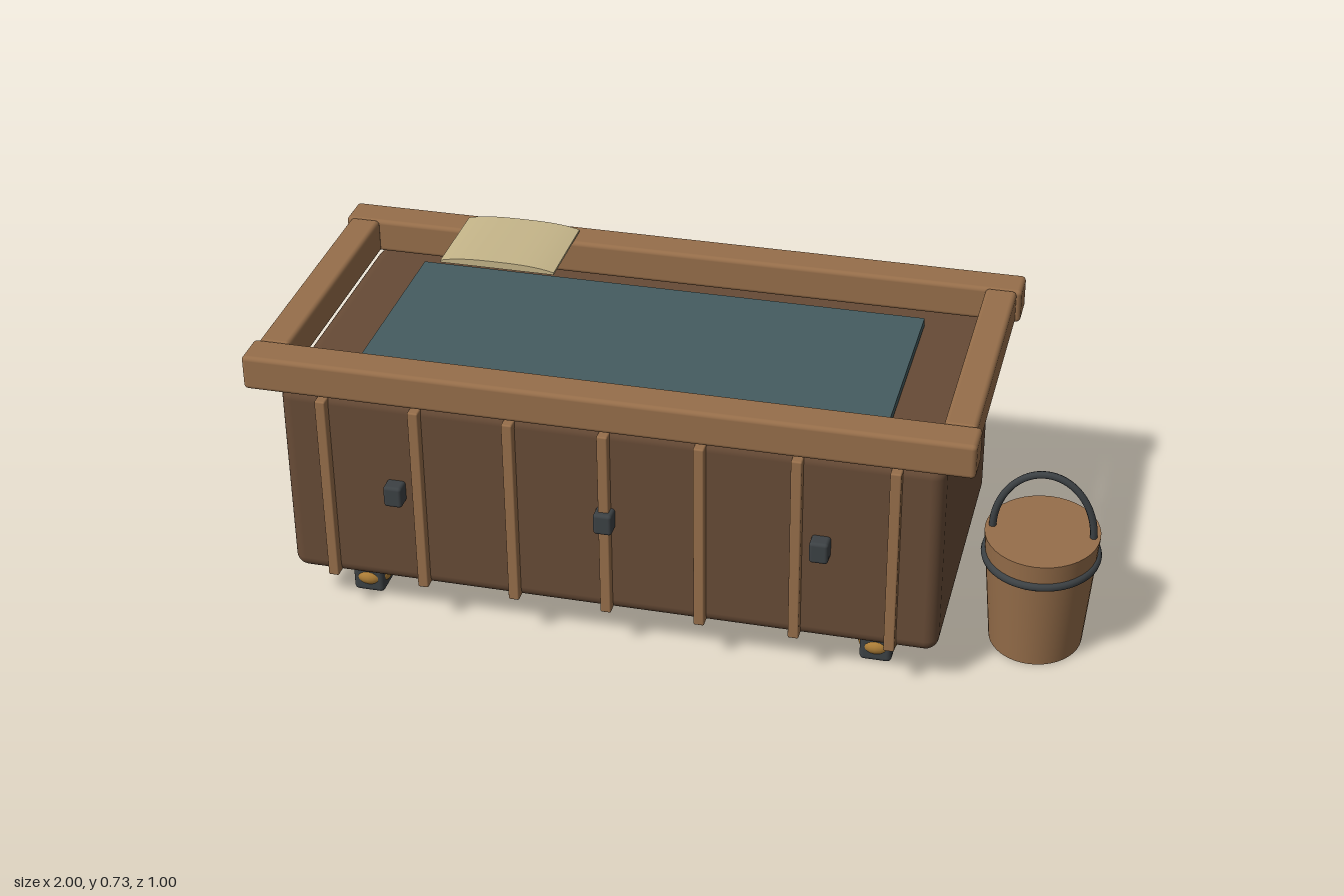
import * as THREE from 'three';
import { RoundedBoxGeometry } from 'three/addons/geometries/RoundedBoxGeometry.js';

const mat = (color, side = THREE.FrontSide) => new THREE.MeshStandardMaterial({ color, side });

export function createModel() {
  const model = new THREE.Group();
  const darkWood = mat(0x674b36), wood = mat(0x966e4a), water = mat(0x455c60);
  const iron = mat(0x3c4144), brass = mat(0xb08038), cloth = mat(0xc6b68a, THREE.DoubleSide);

  const add = (name, geometry, material, x, y, z, parent = model) => {
    const mesh = new THREE.Mesh(geometry, material);
    mesh.name = name;
    mesh.position.set(x, y, z);
    parent.add(mesh);
    return mesh;
  };
  const rounded = (w, h, d, r) => new RoundedBoxGeometry(w, h, d, 3, r);
  const cx = -0.1375, cz = 0.0915; // centre of the tub

  // Tub body and water slab
  add('tubBody', rounded(1.585, 0.51, 0.745, 0.032), darkWood, cx, 0.357, cz);
  add('water', new THREE.BoxGeometry(1.275, 0.022, 0.51), water, cx, 0.626, 0.087);

  // Rim rails
  for (const s of [-1, 1]) {
    add('longRimRail', rounded(1.725, 0.087, 0.09, 0.011), wood, cx, 0.6625, cz + s * 0.3635);
    add('endRimRail', rounded(0.076, 0.087, 0.65, 0.011), wood, cx + s * 0.8125, 0.6625, cz);
  }

  // Vertical battens and iron studs, front and back
  for (const s of [-1, 1]) {
    for (let i = -3; i <= 3; i++)
      add('batten', rounded(0.026, 0.49, 0.036, 0.004), wood, cx + i * 0.2275, 0.355, cz + s * 0.3765);
    for (let i = -1; i <= 1; i++)
      add('stud', rounded(0.045, 0.055, 0.05, 0.008), iron, cx + i * 0.513, 0.367, cz + s * 0.384);
  }

  // Feet with brass bosses
  for (const sx of [-1, 1]) for (const sz of [-1, 1]) {
    const foot = new THREE.Group();
    foot.name = 'foot';
    foot.position.set(cx + sx * 0.635, 0, cz + sz * 0.2475);
    add('footBlock', rounded(0.078, 0.125, 0.09, 0.012), iron, 0, 0.0625, 0, foot);
    add('footBoss', new THREE.SphereGeometry(1, 24, 16), brass, 0, 0.04, 0, foot).scale.set(0.049, 0.034, 0.053);
    model.add(foot);
  }

  // Oval bucket with band and bail handle
  const bucket = new THREE.Group();
  bucket.name = 'bucket';
  bucket.position.set(0.855, 0, 0.182);
  add('bucketBody', new THREE.CylinderGeometry(0.155, 0.127, 0.298, 40), wood, 0, 0.149, 0, bucket).scale.x = 0.885;
  const band = add('bucketBand', new THREE.TorusGeometry(0.148, 0.011, 10, 48), iron, 0, 0.239, 0, bucket);
  band.rotation.x = Math.PI / 2;
  band.scale.x = 0.9;
  const arc = [];
  for (let i = 0; i <= 16; i++) {
    const a = Math.PI * i / 16;
    arc.push(new THREE.Vector3(0.12 * Math.cos(a), 0.295 + 0.16 * Math.sin(a), 0));
  }
  add('bucketHandle', new THREE.TubeGeometry(new THREE.CatmullRomCurve3(arc), 40, 0.009, 8), iron, 0, 0, 0, bucket);
  model.add(bucket);

  // Towel: low pillowed fold on the rim and a sloping tail behind
  const fold = new THREE.BoxGeometry(0.29, 0.006, 0.235, 16, 1, 1);
  const p = fold.attributes.position;
  for (let i = 0; i < p.count; i++)
    if (p.getY(i) > 0) p.setY(i, p.getY(i) + 0.012 * (1 - Math.abs(p.getX(i) / 0.145) ** 3));
  fold.computeVertexNormals();
  add('towelFold', fold, cloth, -0.545, 0.712, -0.1635);
  const tail = add('towelTail', new THREE.BoxGeometry(0.29, 0.575, 0.006), cloth, -0.545, 0.439, -0.39);
  tail.rotation.x = Math.atan2(0.225, 0.54);

  return model;
}
